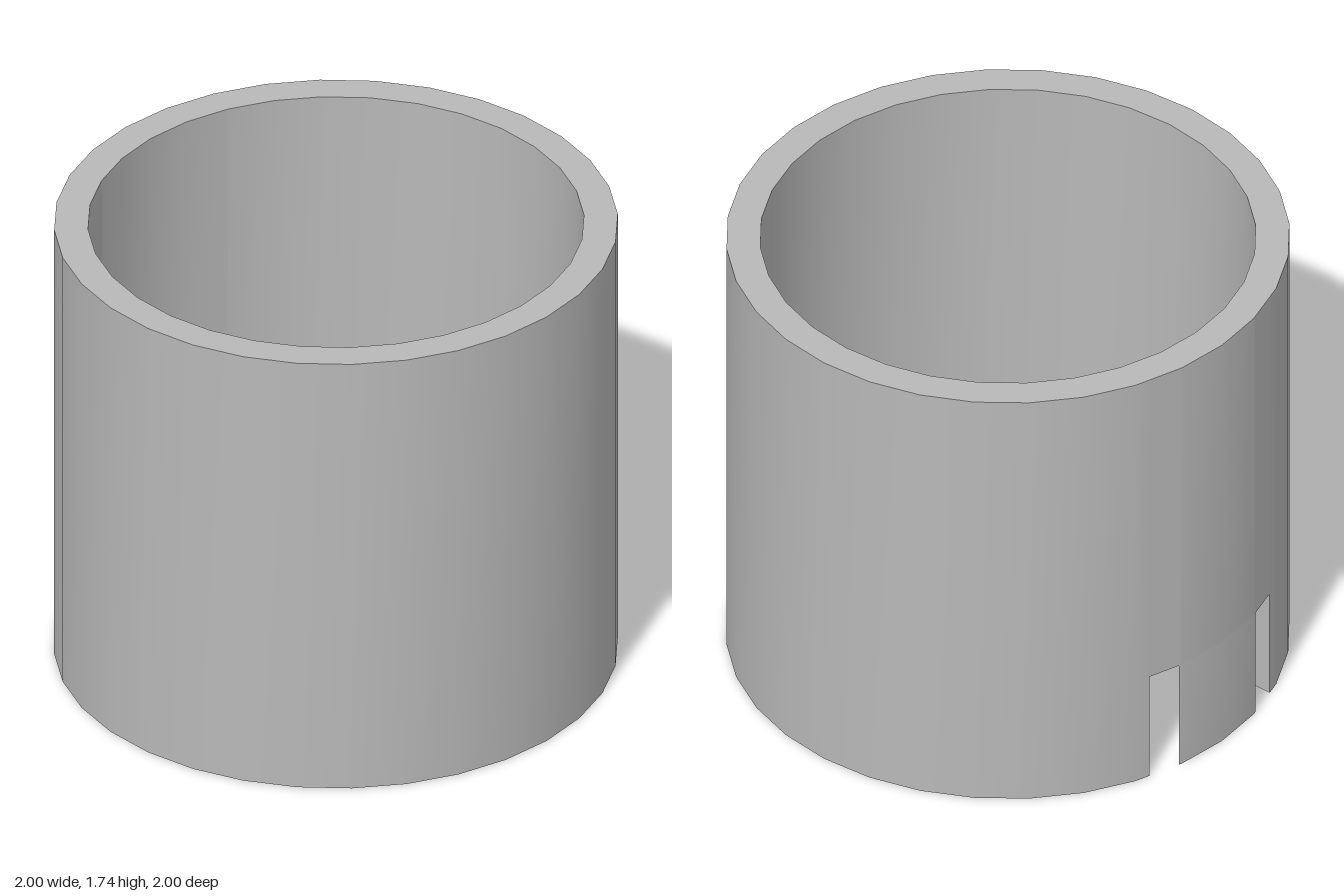
import * as THREE from 'three';
import { mergeGeometries, toCreasedNormals } from 'three/addons/utils/BufferGeometryUtils.js';

const SIDES = 32;
const R = 1, r = 0.88;                     // outer and inner radius
const H = 1.74, FLOOR = 0.109, SLOT = 0.435; // total, floor and slot heights
const W = 0.327, BACK = -0.977;            // slot half width and rear plane

// Plan points are [x, z]; the angle starts at the back and runs towards +x
const at = (rad, k) => {
  const a = (k / SIDES) * Math.PI * 2;
  return [rad * Math.sin(a), -rad * Math.cos(a)];
};
const mirror = ([x, z]) => [-x, z];
const arc = (rad, from, to) => {
  const pts = [];
  for (let k = from; k <= to; k++) pts.push(at(rad, k));
  return pts;
};
// Point on the second facet where axis (0 = x, 1 = z) reaches the value
const onFacet = (rad, axis, value) => {
  const a = at(rad, 1), b = at(rad, 2);
  const t = (value - a[axis]) / (b[axis] - a[axis]);
  return [a[0] + (b[0] - a[0]) * t, a[1] + (b[1] - a[1]) * t];
};

// Vertical faces along a plan path
function strip(path, y0, y1) {
  const pos = [];
  for (let i = 0; i < path.length - 1; i++) {
    const [ax, az] = path[i], [bx, bz] = path[i + 1];
    pos.push(ax, y0, az, ax, y1, az, bx, y0, bz, bx, y0, bz, ax, y1, az, bx, y1, bz);
  }
  const g = new THREE.BufferGeometry();
  g.setAttribute('position', new THREE.Float32BufferAttribute(pos, 3));
  return g;
}

// Horizontal face facing up or down
function cap(outline, y, up, hole) {
  const s = up ? -1 : 1;
  const to2 = (pts) => pts.map(([x, z]) => new THREE.Vector2(x, s * z));
  const shape = new THREE.Shape(to2(outline));
  if (hole) shape.holes.push(new THREE.Path(to2(hole)));
  const g = new THREE.ShapeGeometry(shape).toNonIndexed();
  g.rotateX(s * Math.PI / 2).translate(0, y, 0);
  g.deleteAttribute('uv');
  g.deleteAttribute('normal');
  return g;
}

export function createModel() {
  const group = new THREE.Group();
  const grey = new THREE.MeshStandardMaterial({ color: 0xb8b8b8 });
  grey.name = 'plain grey';

  const add = (name, parts) => {
    const mesh = new THREE.Mesh(toCreasedNormals(mergeGeometries(parts), 0.5), grey);
    mesh.name = name;
    group.add(mesh);
  };

  const cutO = onFacet(R, 0, W), cutI = onFacet(r, 0, W), tab = onFacet(R, 1, BACK);
  const sideO = [cutO, ...arc(R, 2, SIDES - 2), mirror(cutO)];
  const sideI = [cutI, ...arc(r, 2, SIDES - 2), mirror(cutI)];
  const tabArc = [mirror(tab), ...arc(R, -1, 1), tab];
  const backO = [mirror(cutO), ...tabArc, cutO];
  const backI = [mirror(cutI), ...arc(r, -1, 1), cutI];
  const notch = [mirror(cutI), [-W, W], [W, W], cutI];

  // Cylinder wall, open at the rear below the slot height
  add('outerWall', [strip(sideO, 0, H), strip(backO, SLOT, H)]);
  add('innerWall', [
    strip([...sideI].reverse(), FLOOR, H),
    strip([...backI].reverse(), SLOT, H),
  ]);
  add('topRim', [cap(arc(R, 0, SIDES - 1), H, true, arc(r, 0, SIDES - 1))]);

  // Floor with a rectangular channel running out through the back
  add('floor', [
    cap([...sideO, ...notch], 0, false),
    cap([...sideI, ...notch.slice(1, 3)], FLOOR, true),
    strip(notch, 0, FLOOR),
  ]);

  // Cut faces through the rear wall
  add('rearSlots', [
    strip([cutI, cutO], 0, SLOT),
    strip([mirror(cutO), mirror(cutI)], 0, SLOT),
    cap([...backI, cutO, tab, mirror(tab), mirror(cutO)], SLOT, false),
  ]);

  // Thin sliver of wall left hanging between the two slots
  add('rearTab', [
    strip(tabArc, 0, SLOT),
    strip([tab, mirror(tab)], 0, SLOT),
    cap(tabArc, 0, false),
  ]);
  return group;
}
